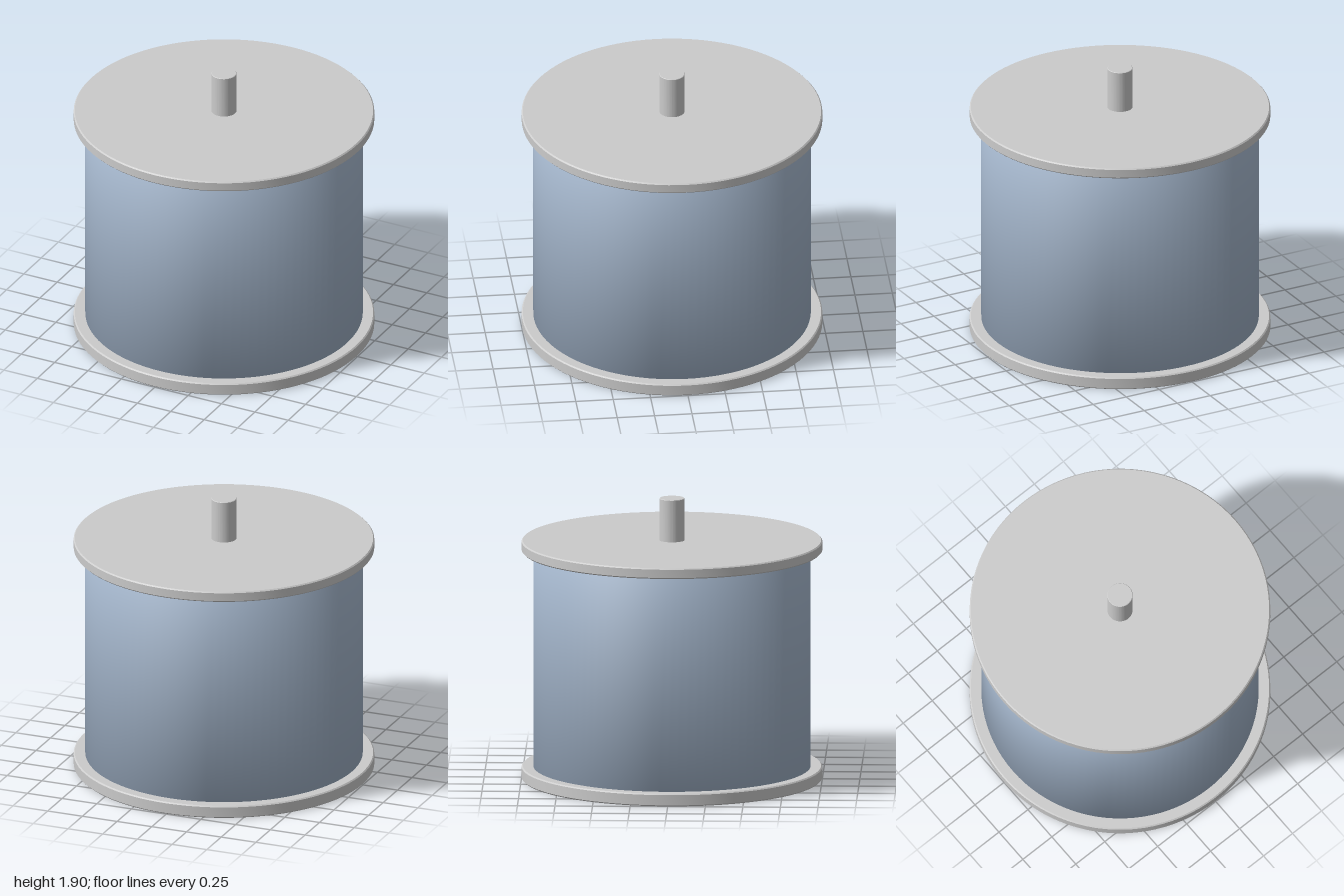
import * as THREE from 'three';
import { mergeVertices, toCreasedNormals } from 'three/addons/utils/BufferGeometryUtils.js';

const SEGMENTS = 96;
const grey = new THREE.MeshStandardMaterial({ color: 0xcccccc });
const blue = new THREE.MeshStandardMaterial({ color: 0xa4b6cc });

// Solid disc or rod from y0 to y1 with small chamfers on its rims
function turned(name, radius, y0, y1, chamferBottom, chamferTop) {
  const profile = [
    [0, y0], [radius - chamferBottom, y0], [radius, y0 + chamferBottom],
    [radius, y1 - chamferTop], [radius - chamferTop, y1], [0, y1],
  ].filter((p, i, all) => i === 0 || p[0] !== all[i - 1][0] || p[1] !== all[i - 1][1])
    .map(([x, y]) => new THREE.Vector2(x, y));
  const geometry = toCreasedNormals(new THREE.LatheGeometry(profile, SEGMENTS), Math.PI / 6);
  const mesh = new THREE.Mesh(geometry, grey);
  mesh.name = name;
  return mesh;
}

// Drum wall, its shading blended smoothly over the hidden end caps
function drum(radius, y0, y1) {
  let geometry = new THREE.CylinderGeometry(radius, radius, y1 - y0, SEGMENTS);
  geometry.deleteAttribute('normal');
  geometry.deleteAttribute('uv');
  geometry = mergeVertices(geometry, 1e-4);
  geometry.computeVertexNormals();
  geometry.translate(0, (y0 + y1) / 2, 0);
  const mesh = new THREE.Mesh(geometry, blue);
  mesh.name = 'drumBody';
  return mesh;
}

export function createModel() {
  const model = new THREE.Group();
  model.name = 'flangedDrum';
  model.add(
    turned('bottomFlange', 1, 0, 0.085, 0.008, 0.008),
    drum(0.923, 0.08, 1.545),
    turned('topFlange', 1, 1.54, 1.612, 0.008, 0.008),
    turned('shaft', 0.084, 1.6, 1.897, 0, 0.003),
  );
  return model;
}
